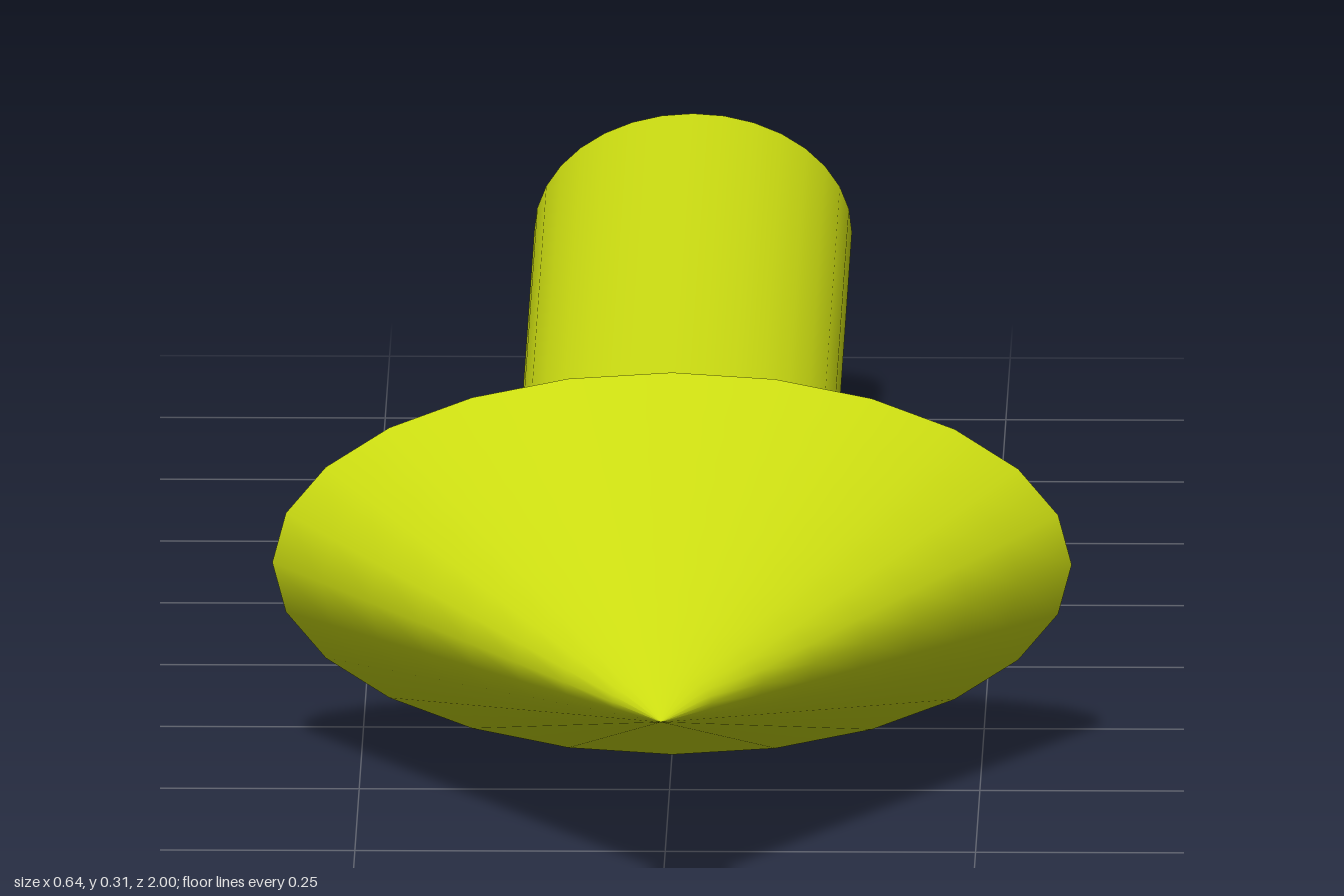
import * as THREE from 'three';

export function createModel() {
  const model = new THREE.Group();
  const material = new THREE.MeshStandardMaterial({ color: 0xcfe012 });

  // Lays an upright round solid along z and squashes it to an oval section
  function addPart(name, geometry, rx, ry, x, y, z) {
    geometry.rotateX(Math.PI / 2);
    geometry.scale(rx, ry, 1);
    const mesh = new THREE.Mesh(geometry, material);
    mesh.name = name;
    mesh.position.set(x, y, z);
    model.add(mesh);
  }

  const tip = 1, neck = 0.358, tail = -1;

  // Pointed oval head, facing forward
  addPart('arrowHead', new THREE.ConeGeometry(1, tip - neck, 24, 8),
    0.322, 0.157, 0, 0.159, (tip + neck) / 2);

  // Oval shaft running to the back
  addPart('shaft', new THREE.CylinderGeometry(1, 1, neck - tail, 32),
    0.128, 0.097, -0.002, 0.156, (neck + tail) / 2);

  return model;
}
